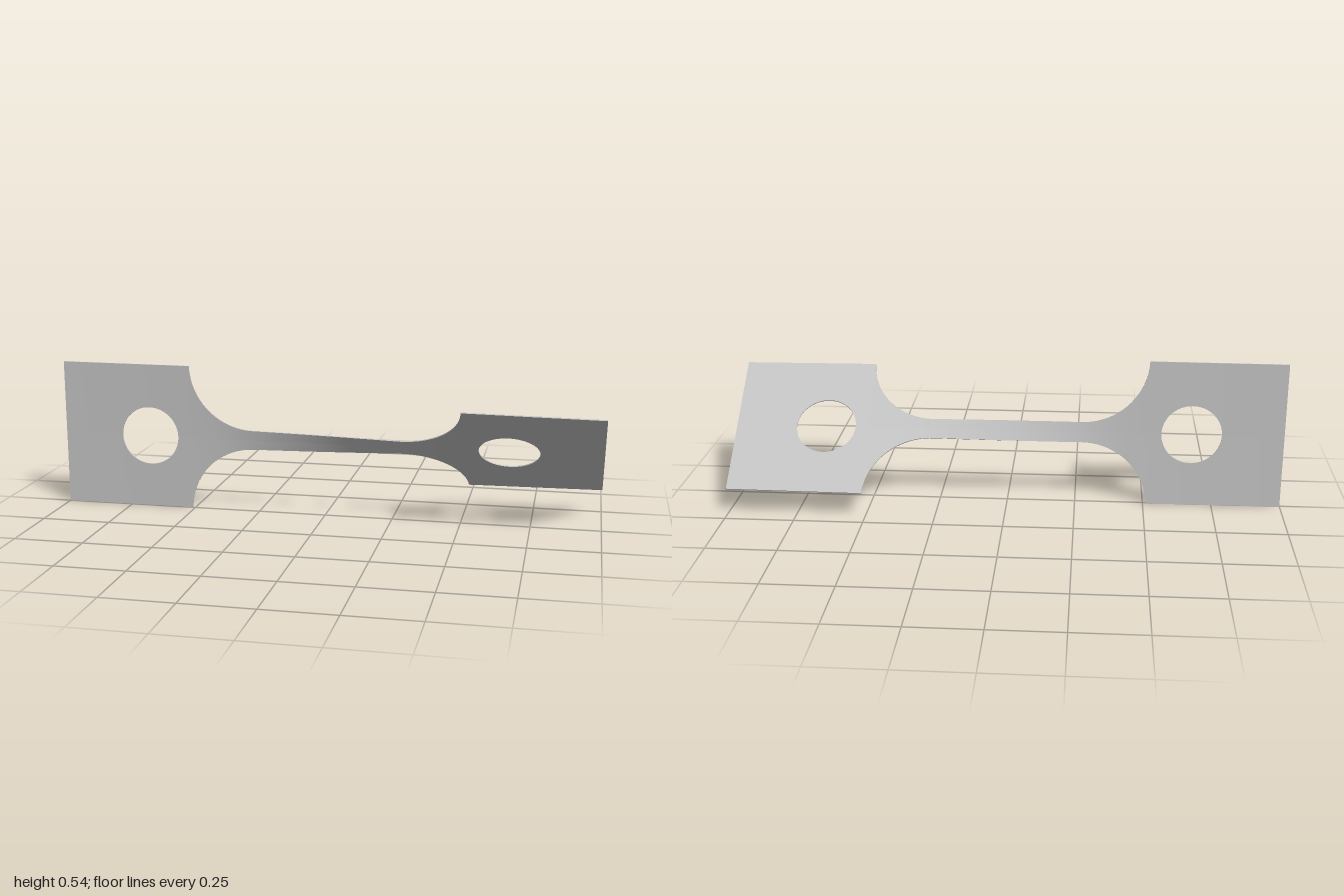
import * as THREE from 'three';
import { mergeGeometries } from 'three/addons/utils/BufferGeometryUtils.js';

const MID = 0.271;        // height of the long axis and half width of the grips
const T = 0.002;          // half thickness of the sheet
const NECK = 0.037;       // half width of the neck
const NECK_END = 0.27;    // where the fillets begin
const R = 0.24;           // fillet radius
const HOLE = { x: 0.668, r: 0.109 };

// Twist in degrees away from the middle: quick in the neck, slow in the grips
const twistCurve = [[0, 0], [0.27, 15.5], [0.31, 17.9], [0.35, 20], [0.42, 22.2], [0.51, 23.5], [1, 24.8]];
function twist(x) {
  const a = Math.abs(x);
  let i = 1;
  while (i < twistCurve.length - 1 && twistCurve[i][0] < a) i++;
  const [x0, t0] = twistCurve[i - 1], [x1, t1] = twistCurve[i];
  const t = t0 + ((t1 - t0) * (a - x0)) / (x1 - x0);
  return THREE.MathUtils.degToRad(25.2 + Math.sign(x) * t);
}

// Point of the twisted sheet: v across the width, w through the thickness
function point(x, v, w) {
  const c = Math.cos(twist(x)), s = Math.sin(twist(x));
  return [x, MID + v * c - w * s, v * s + w * c];
}

// Smooth strip of quads between two rows of points
function strip(p, q) {
  const n = p.length, index = [];
  for (let i = 0; i < n - 1; i++) index.push(i, i + 1, n + i + 1, i, n + i + 1, n + i);
  const g = new THREE.BufferGeometry();
  g.setAttribute('position', new THREE.Float32BufferAttribute([...p, ...q].flat(), 3));
  g.setIndex(index);
  g.computeVertexNormals();
  return g;
}

// Sheet section from columns { x, outer, inner }; inner is the half height of the hole
function sheet(columns) {
  const row = (key, sign, w) => columns.map((c) => point(c.x, sign * c[key], w));
  const parts = [
    strip(row('inner', 1, T), row('outer', 1, T)),
    strip(row('outer', -1, T), row('inner', -1, T)),
    strip(row('outer', 1, -T), row('inner', 1, -T)),
    strip(row('inner', -1, -T), row('outer', -1, -T)),
    strip(row('outer', 1, T), row('outer', 1, -T)),
    strip(row('outer', -1, -T), row('outer', -1, T)),
  ];
  // Walls of the hole
  const bore = columns.filter((c) => c.bore);
  if (bore.length) {
    const edge = (sign, w) => bore.map((c) => point(c.x, sign * c.inner, w));
    parts.push(strip(edge(1, -T), edge(1, T)), strip(edge(-1, T), edge(-1, -T)));
  }
  // Cut ends of the strap
  for (const c of columns) {
    if (Math.abs(c.x) < 0.9999) continue;
    const back = [point(c.x, -c.outer, -T), point(c.x, c.outer, -T)];
    const front = [point(c.x, -c.outer, T), point(c.x, c.outer, T)];
    parts.push(c.x > 0 ? strip(back, front) : strip(front, back));
  }
  return mergeGeometries(parts);
}

const mirror = (columns) => columns.map((c) => ({ ...c, x: -c.x })).reverse();

export function createModel() {
  const group = new THREE.Group();
  const metal = new THREE.MeshStandardMaterial({ color: 0xc4c4c4 });
  metal.name = 'light grey metal';

  // Fillet that widens the neck into a grip
  const fillet = [];
  const sweep = Math.acos((NECK + R - MID) / R);
  for (let i = 0; i <= 24; i++) {
    const a = (sweep * i) / 24;
    fillet.push({ x: NECK_END + R * Math.sin(a), outer: NECK + R * (1 - Math.cos(a)), inner: 0 });
  }
  fillet[24].outer = MID;

  // Straight neck between the two fillets
  const straight = [];
  for (let i = 1; i < 24; i++) straight.push({ x: NECK_END * (i / 12 - 1), outer: NECK, inner: 0 });

  // Grip with a round hole
  const grip = [];
  const plain = (from, to, n) => {
    for (let i = 0; i < n; i++) grip.push({ x: from + ((to - from) * i) / n, outer: MID, inner: 0 });
  };
  const start = fillet[24].x;
  plain(start, HOLE.x - HOLE.r, 2);
  for (let i = 0; i <= 32; i++) {
    const a = (Math.PI * i) / 32;
    const inner = i % 32 === 0 ? 0 : HOLE.r * Math.sin(a);
    grip.push({ x: HOLE.x - HOLE.r * Math.cos(a), outer: MID, inner, bore: true });
  }
  plain(1, HOLE.x + HOLE.r, 5);
  grip.sort((a, b) => a.x - b.x);

  const sections = {
    leftGrip: grip,
    twistedNeck: [...mirror(fillet), ...straight, ...fillet],
    rightGrip: mirror(grip),
  };
  for (const [name, columns] of Object.entries(sections)) {
    const mesh = new THREE.Mesh(sheet(columns), metal);
    mesh.name = name;
    group.add(mesh);
  }
  return group;
}
